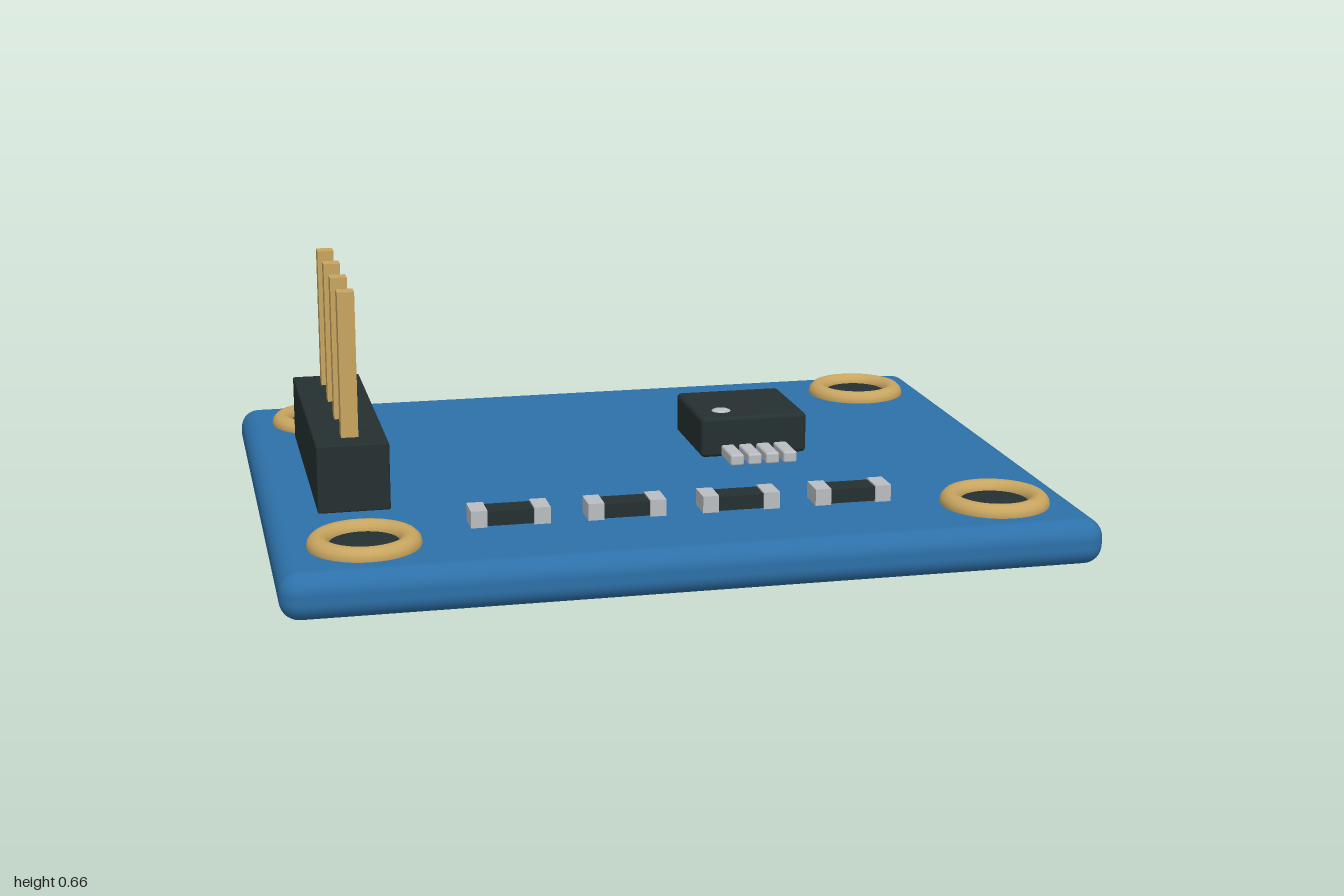
import * as THREE from 'three';
import { RoundedBoxGeometry } from 'three/addons/geometries/RoundedBoxGeometry.js';

const material = (name, color) => {
  const m = new THREE.MeshStandardMaterial({ color });
  m.name = name;
  return m;
};

export function createModel() {
  const blue = material('board blue', 0x2d71a9);
  const dark = material('dark plastic', 0x253030);
  const gold = material('gold', 0xc8a560);
  const silver = material('silver', 0xb9bec2);

  const model = new THREE.Group();
  model.name = 'sensorBoard';

  const add = (name, geometry, mat, x, y, z, parent = model) => {
    const mesh = new THREE.Mesh(geometry, mat);
    mesh.name = name;
    mesh.position.set(x, y, z);
    parent.add(mesh);
    return mesh;
  };
  const group = (name) => {
    const g = new THREE.Group();
    g.name = name;
    model.add(g);
    return g;
  };

  // Circuit board with rounded edges
  const top = 0.115;
  add('board', new RoundedBoxGeometry(2, top, 1.57, 4, 0.048), blue, 0, top / 2, 0);

  // Mounting holes: gold ring around a dark, slightly domed floor
  const ring = new THREE.TorusGeometry(0.11, 0.027, 12, 40).rotateX(Math.PI / 2);
  const floor = new THREE.SphereGeometry(0.095, 32, 6, 0, Math.PI * 2, 0, Math.PI / 2).scale(1, 0.12, 1);
  for (const sx of [-1, 1]) {
    for (const sz of [-1, 1]) {
      const hole = group('mountingHole');
      add('holeRing', ring, gold, sx * 0.785, top + 0.003, sz * 0.573, hole);
      add('holeFloor', floor, dark, sx * 0.785, top + 0.001, sz * 0.573, hole);
    }
  }

  // Pin header: a row of four blocks, each with a square pin
  const header = group('pinHeader');
  const block = new RoundedBoxGeometry(0.178, 0.17, 0.178, 1, 0.004);
  const pin = new THREE.BoxGeometry(0.042, 0.5, 0.042);
  for (let i = 0; i < 4; i++) {
    const z = (i - 1.5) * 0.181;
    add('headerBlock', block, dark, -0.786, 0.216, z, header);
    add('headerPin', pin, gold, -0.786, 0.414, z, header);
  }

  // Chip with a row of leads front and back and a marker dot
  const chip = group('chip');
  add('chipBody', new RoundedBoxGeometry(0.284, 0.107, 0.284, 2, 0.012), dark, 0.282, 0.202, -0.003, chip);
  add('chipDot', new THREE.SphereGeometry(0.026, 20, 12).scale(1, 0.3, 1), silver, 0.21, 0.254, 0.068, chip);
  const lead = new RoundedBoxGeometry(0.036, 0.03, 0.13, 2, 0.006);
  for (let i = 0; i < 4; i++) {
    for (const side of [-1, 1]) {
      add('chipLead', lead, silver, 0.282 + (i - 1.5) * 0.047, 0.166, side * 0.173, chip);
    }
  }

  // Row of small resistors with silver end caps
  const body = new THREE.BoxGeometry(0.12, 0.036, 0.066);
  const cap = new THREE.BoxGeometry(0.04, 0.042, 0.075);
  for (let i = 0; i < 4; i++) {
    const x = (i - 1.5) * 0.286;
    const resistor = group('resistor');
    add('resistorBody', body, dark, x, 0.145, 0.498, resistor);
    for (const side of [-1, 1]) add('resistorCap', cap, silver, x + side * 0.077, 0.146, 0.498, resistor);
  }

  return model;
}
